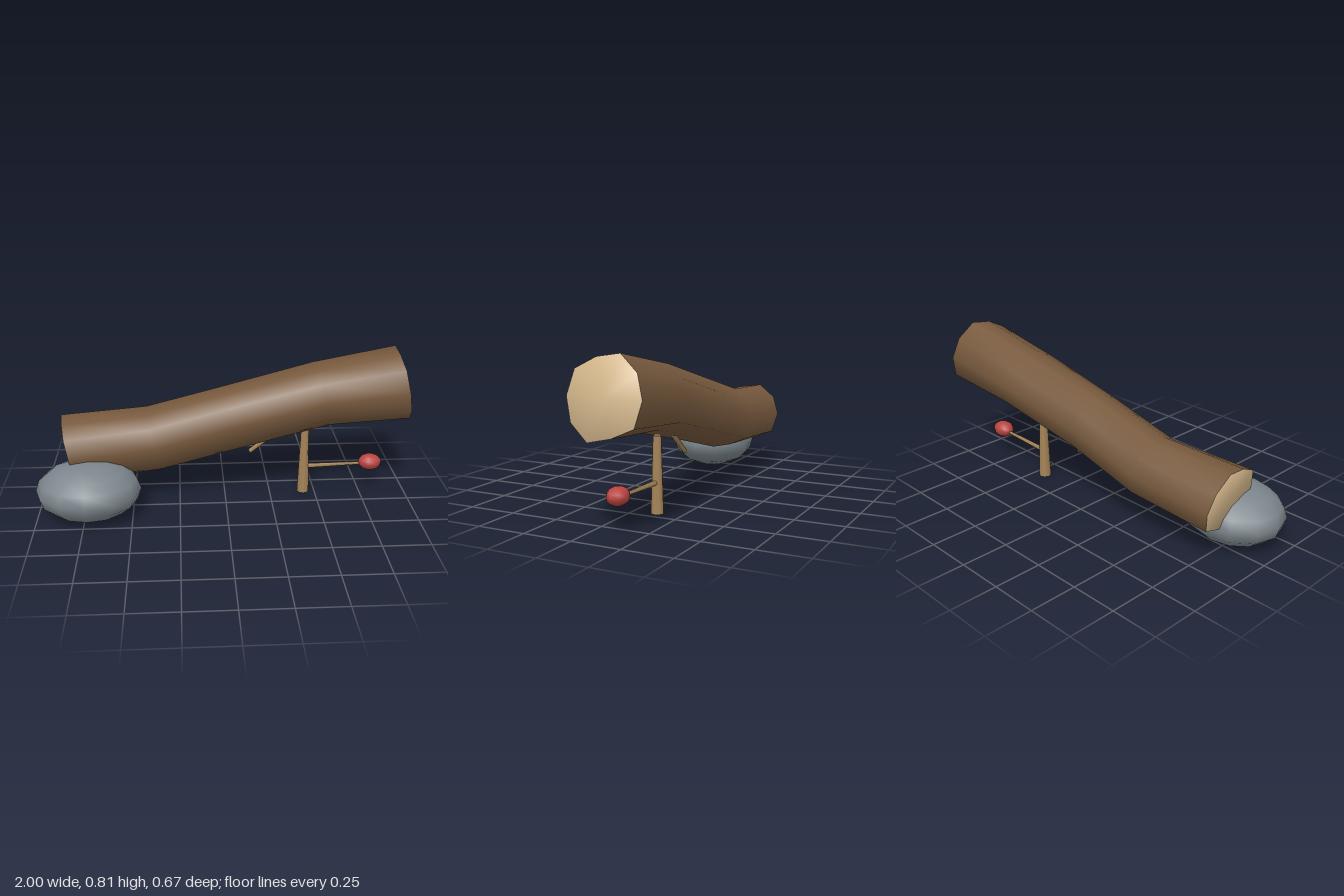
import * as THREE from 'three';

const SIDES = 10;
// Knobbly outline shared by every ring of the log
const BUMPS = [1, 1.05, 0.95, 1.05, 1, 1, 1.06, 0.92, 1.06, 1.01];
// Log rings: centre x, y, z, half height, half depth, lean of the ring in y and z
const RINGS = [
  [-0.835, 0.315, -0.075, 0.168, 0.185, -0.2, 0.09],
  [-0.385, 0.347, -0.115, 0.163, 0.16, -0.19, 0.04],
  [0.03, 0.455, -0.118, 0.16, 0.158, -0.25, 0.02],
  [0.52, 0.572, -0.148, 0.16, 0.178, -0.24, 0.02],
  [0.96, 0.627, -0.15, 0.187, 0.185, -0.21, 0],
];

const mat = (color) => new THREE.MeshStandardMaterial({ color });
const bark = mat(0x785a3e), cutWood = mat(0xd2b68a), stick = mat(0xa58458);
const stone = mat(0x7b858b), red = mat(0xb8433f);

function ringPoints([x, y, z, h, d, ly, lz]) {
  return BUMPS.map((b, j) => {
    const a = (j / SIDES) * Math.PI * 2;
    const dy = Math.sin(a) * h * b, dz = Math.cos(a) * d * b;
    return new THREE.Vector3(x + ly * dy + lz * dz, y + dy, z + dz);
  });
}

function surface(points, index) {
  const g = new THREE.BufferGeometry().setFromPoints(points);
  g.setIndex(index);
  g.computeVertexNormals();
  return g;
}

function barkGeometry() {
  const index = [];
  for (let i = 0; i < RINGS.length - 1; i++) {
    for (let j = 0; j < SIDES; j++) {
      const k = (j + 1) % SIDES;
      const a = i * SIDES + j, b = i * SIDES + k;
      index.push(a, a + SIDES, b, b, a + SIDES, b + SIDES);
    }
  }
  return surface(RINGS.flatMap(ringPoints), index);
}

// Sawn face with normals spreading softly towards its rim
function cutGeometry(ring, facesRight) {
  const centre = new THREE.Vector3(ring[0], ring[1], ring[2]);
  const points = [centre, ...ringPoints(ring)];
  const index = [];
  for (let j = 0; j < SIDES; j++) {
    const a = 1 + j, b = 1 + ((j + 1) % SIDES);
    index.push(0, facesRight ? b : a, facesRight ? a : b);
  }
  const g = surface(points, index);
  const n = g.attributes.normal, v = new THREE.Vector3();
  for (let i = 1; i < points.length; i++) {
    const out = points[i].clone().sub(centre).normalize();
    v.fromBufferAttribute(n, i).addScaledVector(out, 0.6).normalize();
    n.setXYZ(i, v.x, v.y, v.z);
  }
  return g;
}

// Tapered rod between two points
function rod(from, to, r0, r1, sides) {
  const a = new THREE.Vector3(...from), b = new THREE.Vector3(...to);
  const dir = b.clone().sub(a);
  const mesh = new THREE.Mesh(new THREE.CylinderGeometry(r1, r0, dir.length(), sides), stick);
  mesh.position.copy(a).add(b).multiplyScalar(0.5);
  mesh.quaternion.setFromUnitVectors(new THREE.Vector3(0, 1, 0), dir.normalize());
  return mesh;
}

function ellipsoid(position, radii, sides, material) {
  const mesh = new THREE.Mesh(new THREE.SphereGeometry(1, sides, 8), material);
  mesh.position.set(...position);
  mesh.scale.set(...radii);
  return mesh;
}

export function createModel() {
  const group = new THREE.Group();
  const add = (name, mesh) => {
    mesh.name = name;
    group.add(mesh);
  };

  // Fallen log with its two sawn ends
  add('log', new THREE.Mesh(barkGeometry(), bark));
  add('logEndRight', new THREE.Mesh(cutGeometry(RINGS[0], false), cutWood));
  add('logEndLeft', new THREE.Mesh(cutGeometry(RINGS[RINGS.length - 1], true), cutWood));

  // Rock under the low end
  add('rock', ellipsoid([-0.725, 0.155, 0.103], [0.275, 0.153, 0.231], 12, stone));

  // Prop post, trigger stick, bait and brace
  add('post', rod([0.437, 0, -0.123], [0.437, 0.382, -0.123], 0.033, 0.021, 8));
  add('triggerStick', rod([0.437, 0.153, -0.123], [0.79, 0.164, -0.123], 0.013, 0.008, 6));
  add('bait', ellipsoid([0.805, 0.17, -0.123], [0.065, 0.045, 0.053], 10, red));
  add('brace', rod([0.135, 0.25, -0.123], [0.3, 0.383, -0.123], 0.012, 0.014, 6));

  return group;
}
